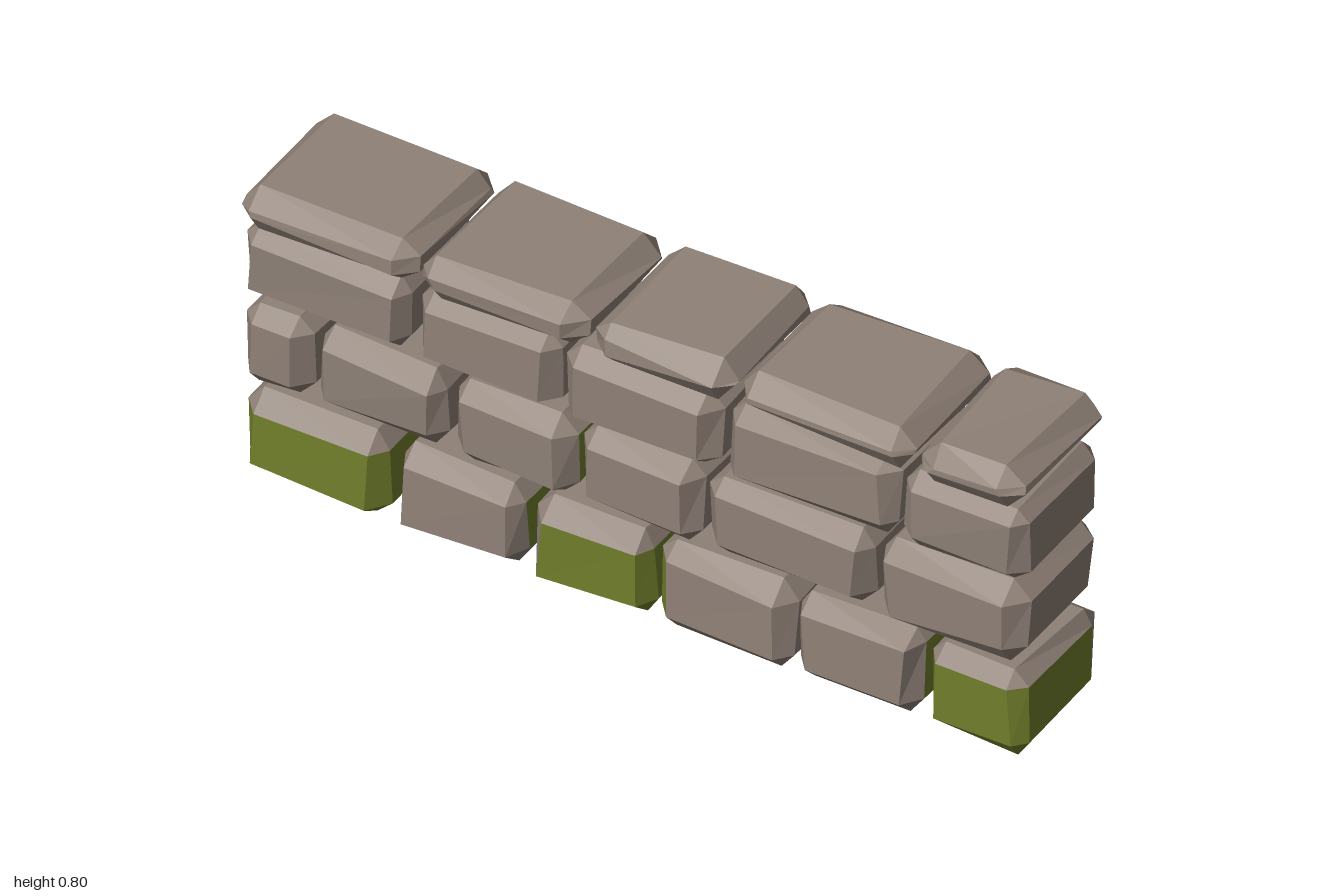
import * as THREE from 'three';

const stone = new THREE.MeshStandardMaterial({ color: 0x8f8177, flatShading: true });
stone.name = 'stone';
const moss = new THREE.MeshStandardMaterial({ color: 0x717f2b, flatShading: true });
moss.name = 'moss';

// Courses of the wall from the ground up. Each stone is [x0, x1, mossy faces].
// A face is named by its direction: capitals are +x +y +z, small letters -x -y -z.
const wholeFront = 'Z xZ XZ yZ xyZ XyZ y ';
const back = 'z Xz yz Xyz xyz ';
const courses = [
  { name: 'baseStone', y: [0.005, 0.242], depth: 0.178, inset: [0.035, 0.043, 0.05], stones: [
    [-1, -0.635, wholeFront + 'x xy Xz X'],
    [-0.61, -0.285, back + 'xz X'],
    [-0.268, 0.04, back + 'Z XZ yZ XyZ y X'],
    [0.05, 0.4, back + 'xz xZ y x xy Xy'],
    [0.405, 0.725, back + 'X'],
    [0.738, 0.996, wholeFront + 'X Xy z xz yz xyz x xy']] },
  { name: 'lowerStone', y: [0.255, 0.476], depth: 0.178, inset: [0.04, 0.045, 0.05], stones: [
    [-1, -0.825, ''],
    [-0.815, -0.485, 'xz'],
    [-0.47, -0.155, 'z Xz yz Xyz X'],
    [-0.145, 0.165, ''],
    [0.175, 0.605, 'XYz'],
    [0.615, 0.99, 'xYz']] },
  { name: 'upperStone', y: [0.486, 0.69], depth: 0.176, inset: [0.035, 0.037, 0.045], stones: [
    [-1, -0.582, 'yz'],
    [-0.565, -0.195, ''],
    [-0.185, 0.21, ''],
    [0.225, 0.665, 'Xyz'],
    [0.675, 0.996, 'yz']] },
  { name: 'capStone', y: [0.692, 0.807], depth: 0.196, inset: [0.046, 0.046, 0.045], stones: [
    [-1, -0.545, ''],
    [-0.54, -0.113, ''],
    [-0.1, 0.258, ''],
    [0.265, 0.72, ''],
    [0.725, 0.996, '']] },
];

function seeded(seed) {
  return () => {
    seed = (seed * 16807) % 2147483647;
    return seed / 2147483647;
  };
}

const faceName = (d) => d.map((s, i) => (s ? (s > 0 ? 'XYZ' : 'xyz')[i] : '')).join('');

// A rough block with every edge and corner cut off
function chippedBlock(min, max, inset, mossy, random) {
  // Each corner has three points, one lying on each of its main faces
  const corners = {};
  for (const x of [-1, 1]) for (const y of [-1, 1]) for (const z of [-1, 1]) {
    const s = [x, y, z];
    const cut = inset.map((c) => c * (0.75 + 0.5 * random()));
    const dent = [0, 1, 2].map(() => 0.007 * random());
    corners[s] = [0, 1, 2].map((a) => s.map((sign, i) =>
      (sign > 0 ? max[i] : min[i]) - sign * (i === a ? dent[i] : cut[i])));
  }

  const lists = [[], []];
  for (let x = -1; x <= 1; x++) for (let y = -1; y <= 1; y++) for (let z = -1; z <= 1; z++) {
    const d = [x, y, z];
    const set = [0, 1, 2].filter((i) => d[i]);
    const free = [0, 1, 2].filter((i) => !d[i]);
    if (!set.length) continue;
    const at = (signs, a) => {
      const s = d.slice();
      free.forEach((axis, i) => { s[axis] = signs[i]; });
      return new THREE.Vector3(...corners[s][a]);
    };
    let p;
    if (set.length === 1) {
      p = [[-1, -1], [1, -1], [1, 1], [-1, 1]].map((s) => at(s, set[0])); // main face
    } else if (set.length === 2) {
      const [a, b] = set;
      p = [at([-1], a), at([-1], b), at([1], b), at([1], a)]; // cut edge
    } else {
      p = set.map((a) => at([], a)); // cut corner
    }
    const normal = p[1].clone().sub(p[0]).cross(p[2].clone().sub(p[0]));
    if (normal.dot(new THREE.Vector3(...d)) < 0) p.reverse();
    const list = lists[mossy.includes(faceName(d)) ? 1 : 0];
    for (let i = 1; i < p.length - 1; i++) list.push(p[0], p[i], p[i + 1]);
  }

  const geometry = new THREE.BufferGeometry().setFromPoints(lists.flat());
  geometry.addGroup(0, lists[0].length, 0);
  if (lists[1].length) geometry.addGroup(lists[0].length, lists[1].length, 1);
  geometry.computeVertexNormals();
  return geometry;
}

export function createModel() {
  const wall = new THREE.Group();
  wall.name = 'stoneWall';
  const random = seeded(4217);
  for (const { name, y, depth, inset, stones } of courses) {
    const course = new THREE.Group();
    course.name = name + 'Course';
    stones.forEach(([x0, x1, faces], i) => {
      const geometry = chippedBlock([x0, y[0], -depth], [x1, y[1], depth], inset,
        faces.split(' '), random);
      const mesh = new THREE.Mesh(geometry, [stone, moss]);
      mesh.name = name + (i + 1);
      course.add(mesh);
    });
    wall.add(course);
  }
  // Settle the wall on the ground and centre it
  const box = new THREE.Box3().setFromObject(wall);
  const centre = box.getCenter(new THREE.Vector3());
  wall.position.set(-centre.x, -box.min.y, -centre.z);
  return wall;
}
